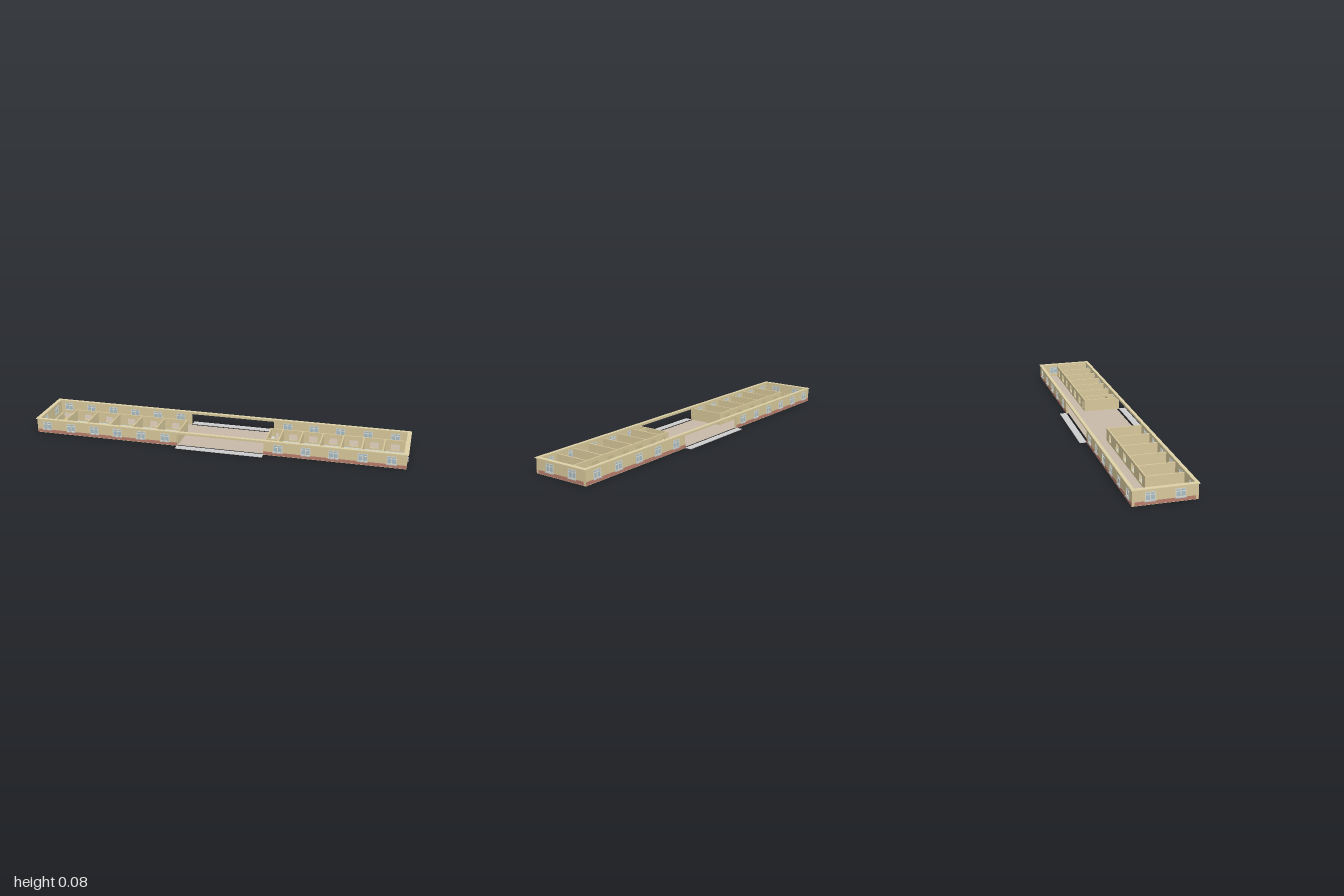
import * as THREE from 'three';

const mat = (color) => new THREE.MeshStandardMaterial({ color });
const M = {
  cream: mat(0xd6c79a), trim: mat(0xddd0a6), red: mat(0xb87c6c), floor: mat(0xc6b9a8),
  room: mat(0xc6d0d2), apron: mat(0xc6c6c2), frame: mat(0xd6d8cc), glass: mat(0xa8bcc6),
  mat: mat(0xd2bd80), grey: mat(0xb4b8b8),
};

const H = 0.075, T = 0.013;           // wall height and thickness
const X = 0.992, Z = 0.154;           // outer half sizes
const GAP = [-0.2, 0.265];            // gateway in both long walls
const WIN = { w: 0.05, h: 0.044, y: 0.019 };

// Box given by its limits
function box(parent, name, m, x0, x1, y0, y1, z0, z1) {
  const mesh = new THREE.Mesh(new THREE.BoxGeometry(x1 - x0, y1 - y0, z1 - z0), m);
  mesh.position.set((x0 + x1) / 2, (y0 + y1) / 2, (z0 + z1) / 2);
  mesh.name = name;
  parent.add(mesh);
  return mesh;
}

const rect = (P, x, y, w, h) => {
  const p = new P();
  p.moveTo(x, y);
  p.lineTo(x + w, y);
  p.lineTo(x + w, y + h);
  p.lineTo(x, y + h);
  p.closePath();
  return p;
};

// Upright wall in local x/y, thickness towards -z, with openings [x, y, w, h]
function wall(parent, name, x0, x1, height, thick, holes) {
  const s = rect(THREE.Shape, x0, 0, x1 - x0, height);
  holes.forEach((h) => s.holes.push(rect(THREE.Path, ...h)));
  const g = new THREE.ExtrudeGeometry(s, { depth: thick, bevelEnabled: false });
  g.translate(0, 0, -thick);
  const mesh = new THREE.Mesh(g, M.cream);
  mesh.name = name;
  parent.add(mesh);
}

// Casement window with mullion, transom, glass and sill
function windowUnit(parent, cx) {
  const g = new THREE.Group();
  g.name = 'window';
  const { w, h, y } = WIN, f = 0.004, a = cx - w / 2, b = cx + w / 2;
  const bar = (x0, x1, y0, y1) => box(g, 'windowFrame', M.frame, x0, x1, y0, y1, -T - 0.0005, 0.001);
  bar(a, a + f, y, y + h);
  bar(b - f, b, y, y + h);
  bar(a + f, b - f, y, y + f);
  bar(a + f, b - f, y + h - f, y + h);
  bar(cx - f / 2, cx + f / 2, y + f, y + h - f);
  bar(a + f, cx - f / 2, y + 0.028, y + 0.031);
  bar(cx + f / 2, b - f, y + 0.028, y + 0.031);
  box(g, 'windowGlass', M.glass, a + f, b - f, y + f, y + h - f, -T + 0.003, -0.002);
  box(g, 'windowSill', M.grey, a - 0.002, b + 0.002, y - 0.003, y, -0.002, 0.005);
  parent.add(g);
}

// Outside wall section: wall, windows and red plinth band
function facade(parent, x0, x1, windows) {
  wall(parent, 'outerWall', x0, x1, H, T, windows.map((c) => [c - WIN.w / 2, WIN.y, WIN.w, WIN.h]));
  windows.forEach((c) => windowUnit(parent, c));
  box(parent, 'plinthBand', M.red, x0, x1, 0.002, 0.0195, -0.002, 0.001);
}

// Desk with a seat and cupboard for one room
function furnish(parent, x0, x1) {
  const g = new THREE.Group();
  g.name = 'roomFurniture';
  const c = (x0 + x1) / 2;
  box(g, 'deskTop', M.room, c - 0.043, c + 0.043, 0.021, 0.023, 0.033, 0.055);
  for (const s of [-1, 1]) box(g, 'deskLeg', M.grey, c + s * 0.04 - 0.002, c + s * 0.04 + 0.002, 0.004, 0.021, 0.035, 0.053);
  box(g, 'deskBox', M.grey, c - 0.01, c + 0.01, 0.023, 0.026, 0.041, 0.047);
  box(g, 'cupboard', M.room, x0 + 0.006, x0 + 0.03, 0.004, 0.026, 0.094, 0.135);
  box(g, 'stool', M.grey, x0 + 0.036, x0 + 0.048, 0.004, 0.014, 0.118, 0.132);
  parent.add(g);
}

// Row of rooms: corridor wall with doors, cross walls, pale floor
function roomRow(parent, name, xs, firstFurnished) {
  const g = new THREE.Group();
  g.name = name;
  const zc = -0.047, zi = Z - T, h = 0.068, t = 0.007, last = xs[xs.length - 1];
  const corridor = new THREE.Group();
  corridor.name = 'corridorWall';
  corridor.position.z = zc + t;
  const holes = [];
  for (let i = 0; i < xs.length - 1; i++) {
    const c = (xs[i] + xs[i + 1]) / 2, w = i < firstFurnished ? 0.022 : 0.045;
    holes.push([c - w / 2, 0.012, w, 0.04]);
    if (i >= firstFurnished) furnish(g, xs[i], xs[i + 1]);
  }
  wall(corridor, 'corridorPartition', xs[0], last, h, t, holes);
  g.add(corridor);
  xs.forEach((x) => box(g, 'crossWall', M.cream, x - t / 2, x + t / 2, 0.002, h, zc, zi));
  box(g, 'roomFloor', M.room, xs[0], last, 0.002, 0.004, zc + t, zi);
  parent.add(g);
}

export function createModel() {
  const model = new THREE.Group();
  model.name = 'longBuilding';

  // Floor and the aprons outside the gateways
  box(model, 'floor', M.floor, -X + 0.002, X - 0.002, 0, 0.002, -Z + T, Z - T);
  for (const s of [-1, 1]) {
    const z = [s * Z, s * 0.19].sort((a, b) => a - b);
    box(model, 'apron', M.apron, GAP[0], GAP[1], 0, 0.003, ...z);
  }

  // Long walls, mirrored front and back
  const left = [-0.933, -0.797, -0.664, -0.532, -0.398, -0.265];
  const right = [0.34, 0.484, 0.626, 0.773, 0.917];
  for (const s of [1, -1]) {
    const side = new THREE.Group();
    side.name = s > 0 ? 'frontWall' : 'backWall';
    side.position.z = s * Z;
    if (s < 0) side.rotation.y = Math.PI;
    const sections = [[-X, GAP[0], left], [GAP[1], X, right]];
    for (const [a, b, w] of sections) {
      if (s > 0) facade(side, a, b, w);
      else facade(side, -b, -a, w.map((c) => -c));
    }
    const [a, b] = s > 0 ? GAP : [-GAP[1], -GAP[0]];
    box(side, 'gatewayLintel', M.cream, a, b, 0.066, H, -T, 0);
    box(side, 'cornice', M.trim, -0.999, 0.999, H, 0.079, -T - 0.001, 0.003);
    model.add(side);
  }

  // End walls
  for (const s of [1, -1]) {
    const end = new THREE.Group();
    end.name = s > 0 ? 'leftEndWall' : 'rightEndWall';
    end.position.x = s * X;
    end.rotation.y = s * Math.PI / 2;
    facade(end, -Z + T, Z - T, [-0.07, 0.07]);
    box(end, 'cornice', M.trim, -Z + T + 0.001, Z - T - 0.001, H, 0.079, -T - 0.001, 0.007);
    model.add(end);
  }

  // Rooms on either side of the hall
  roomRow(model, 'rightRooms', [-0.842, -0.717, -0.588, -0.457, -0.328, -0.2], 0);
  roomRow(model, 'leftRooms', [0.268, 0.334, 0.441, 0.548, 0.655, 0.762, 0.869, 0.977], 1);

  // Small washroom beside the hall
  box(model, 'washroomPartition', M.cream, 0.272, 0.33, 0.004, 0.068, 0.092, 0.098);
  box(model, 'washBasin', M.frame, 0.273, 0.292, 0.004, 0.026, -0.036, -0.004);
  for (const x of [0.277, 0.305]) box(model, 'washroomSeat', M.frame, x, x + 0.014, 0.004, 0.018, 0.115, 0.136);

  // Low enclosure and mat in the open end
  box(model, 'lowScreen', M.cream, -0.933, -0.928, 0.002, 0.04, -0.06, 0.066);
  box(model, 'lowScreenReturn', M.cream, -X + T, -0.933, 0.002, 0.04, 0.061, 0.066);
  box(model, 'floorMat', M.mat, -0.928, -0.872, 0.002, 0.004, -0.068, 0.07);
  return model;
}
